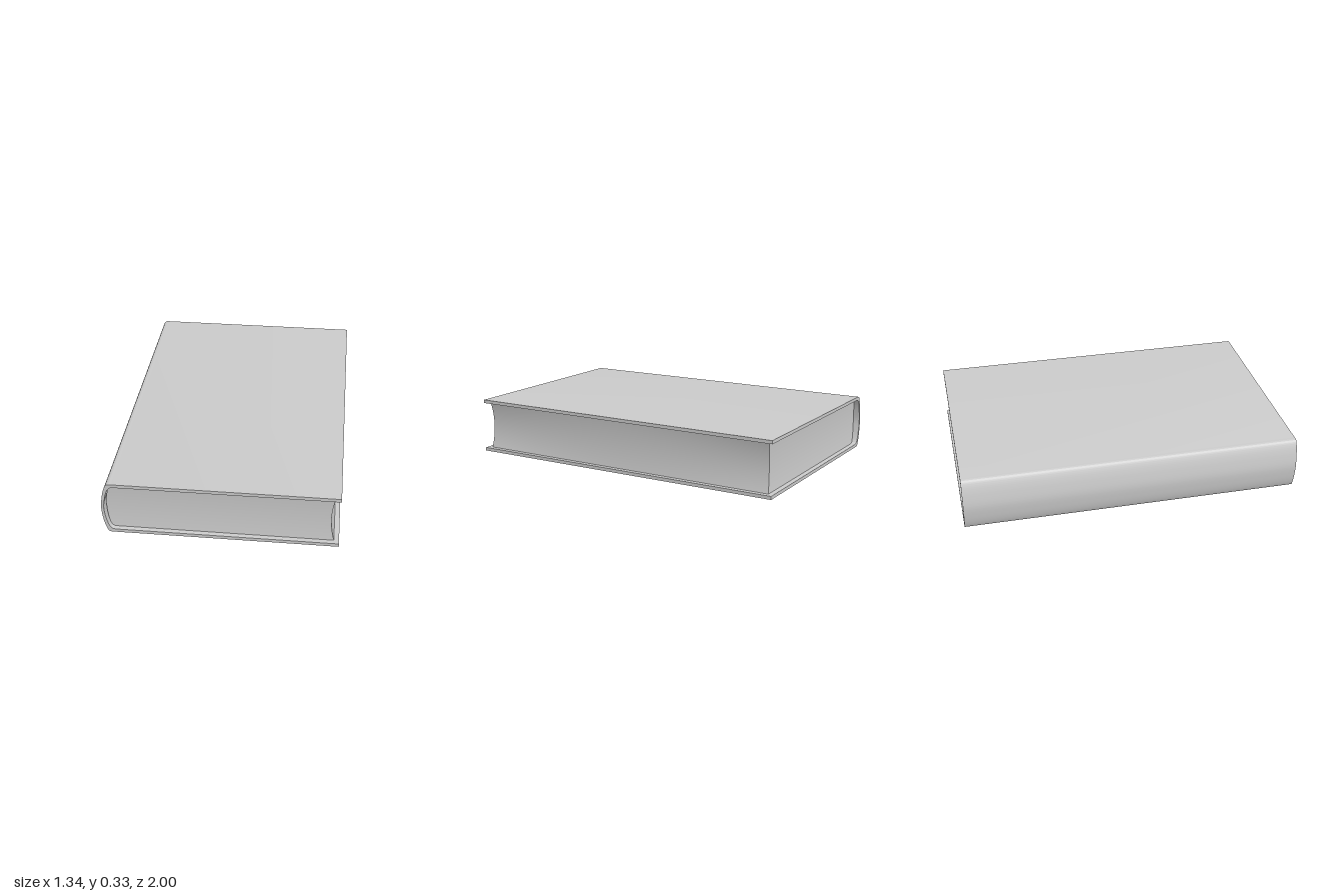
import * as THREE from 'three';
import { toCreasedNormals } from 'three/addons/utils/BufferGeometryUtils.js';

const HEIGHT = 0.33, MID = HEIGHT / 2, BOARD = 0.02, EDGE = 0.67;
const material = new THREE.MeshStandardMaterial({ color: 0xcccccc });

function part(name, geometry) {
  const mesh = new THREE.Mesh(geometry, material);
  mesh.name = name;
  return mesh;
}

// Mirror the upper half of a profile about mid-height, top to bottom
function mirrored(points) {
  const lower = points.slice(0, -1).reverse().map(([x, y]) => [x, HEIGHT - y]);
  return [...points, ...lower].map(([x, y]) => new THREE.Vector2(x, y));
}

// Two boards joined by a rounded spine: one C-shaped section along z
function coverGeometry() {
  const outer = mirrored([[-0.605, HEIGHT], [-0.633, 0.325], [-0.65, 0.292], [-0.663, 0.235], [-EDGE, MID]]);
  const inner = mirrored([[-0.595, HEIGHT - BOARD], [-0.617, 0.304], [-0.633, 0.28], [-0.647, 0.23], [-0.655, MID]]).reverse();
  const shape = new THREE.Shape();
  shape.moveTo(EDGE, HEIGHT);
  shape.lineTo(outer[0].x, outer[0].y);
  shape.splineThru(outer.slice(1));
  shape.lineTo(EDGE, 0);
  shape.lineTo(EDGE, BOARD);
  shape.lineTo(inner[0].x, inner[0].y);
  shape.splineThru(inner.slice(1));
  shape.lineTo(EDGE, HEIGHT - BOARD);
  shape.closePath();
  const geometry = new THREE.ExtrudeGeometry(shape, { depth: 2, bevelEnabled: false, curveSegments: 32 });
  geometry.translate(0, 0, -1);
  return toCreasedNormals(geometry, 0.6);
}

// Page block: rounded at the spine, hollowed at the fore edge and slightly at both ends
function pagesGeometry() {
  const geometry = new THREE.BoxGeometry(2, 2, 2, 8, 24, 16);
  const p = geometry.attributes.position;
  for (let i = 0; i < p.count; i++) {
    const u = p.getX(i), v = p.getY(i), w = p.getZ(i);
    const bow = Math.max(0, 1 - v * v);
    const back = -0.607 - 0.04 * Math.pow(bow, 0.55);
    const fore = 0.641 - (0.01 + 0.01 * w * w) * bow;
    p.setXYZ(i,
      THREE.MathUtils.lerp(back, fore, (u + 1) / 2),
      MID + v * (MID - BOARD + 0.001),
      w * (0.97 - 0.007 * bow));
  }
  geometry.computeVertexNormals();
  return geometry;
}

export function createModel() {
  const book = new THREE.Group();
  book.name = 'book';
  book.add(part('cover', coverGeometry()), part('pages', pagesGeometry()));
  return book;
}
